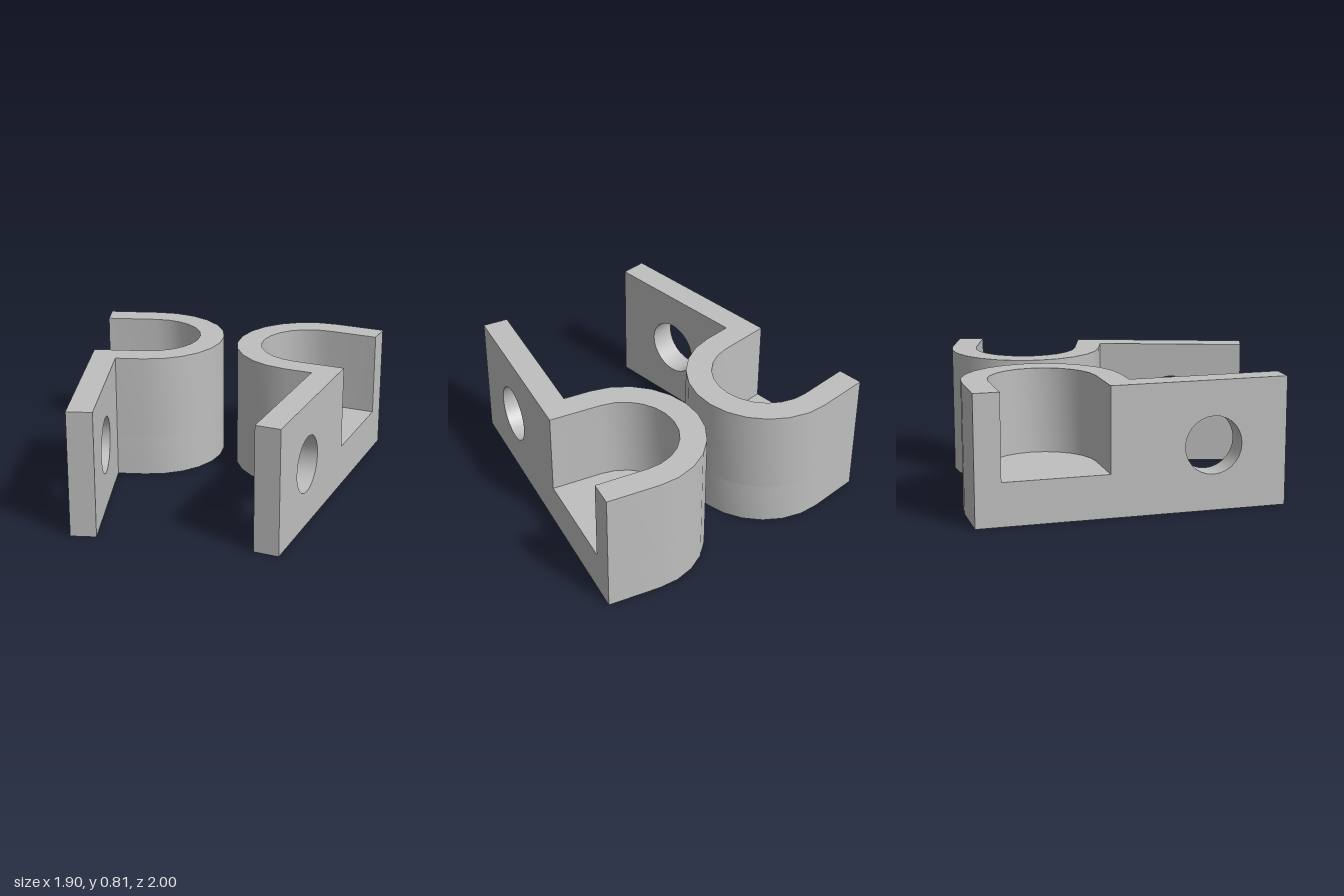
import * as THREE from 'three';
import { toCreasedNormals } from 'three/addons/utils/BufferGeometryUtils.js';

const HEIGHT = 0.805, FLOOR = 0.27, WALL = 0.16, LENGTH = 1.93;
const RADIUS = 0.49, REACH = 0.334; // cup outer radius, distance of its axis from the flat face
const TILT = 0.164;

const grey = new THREE.MeshStandardMaterial({ color: 0xbfbfbf });
grey.name = 'grey';

// Half circle round the cup axis, bulging away from the flat face
function halfArc(r, steps = 12) {
  const pts = [];
  for (let i = 0; i <= steps; i++) {
    const a = (i / steps) * Math.PI;
    pts.push([RADIUS - r * Math.cos(a), REACH + r * Math.sin(a)]);
  }
  return pts;
}

// Upright prism from a plan outline of [along, inward] points
function prism(name, outline, side, y, height) {
  const shape = new THREE.Shape(outline.map(([s, t]) => new THREE.Vector2(s, -side * t)));
  const geo = new THREE.ExtrudeGeometry(shape, { depth: height, bevelEnabled: false });
  geo.rotateX(-Math.PI / 2).translate(0, y, 0);
  const mesh = new THREE.Mesh(toCreasedNormals(geo, 0.5), grey);
  mesh.name = name;
  return mesh;
}

// Flat mounting plate with a round screw hole
function plate(side) {
  const s0 = RADIUS * 2;
  const shape = new THREE.Shape([[s0, 0], [LENGTH, 0], [LENGTH, HEIGHT], [s0, HEIGHT]]
    .map(([x, y]) => new THREE.Vector2(x, y)));
  shape.holes.push(new THREE.Path().absarc(1.465, 0.405, 0.18, 0, Math.PI * 2, true));
  const geo = new THREE.ExtrudeGeometry(shape, { depth: WALL, bevelEnabled: false, curveSegments: 14 });
  if (side < 0) geo.translate(0, 0, -WALL);
  const mesh = new THREE.Mesh(toCreasedNormals(geo, 0.5), grey);
  mesh.name = 'mountingPlate';
  return mesh;
}

function bracket(side, x, z) {
  const group = new THREE.Group();
  group.name = side > 0 ? 'leftBracket' : 'rightBracket';
  const outer = [[0, 0], ...halfArc(RADIUS), [RADIUS * 2, 0]];
  const inner = [[WALL, 0], ...halfArc(RADIUS - WALL), [RADIUS * 2 - WALL, 0]];
  group.add(
    prism('cupFloor', outer, side, 0, FLOOR),
    prism('cupWall', [...outer, ...inner.reverse()], side, FLOOR, HEIGHT - FLOOR),
    plate(side),
  );
  group.rotation.y = -(Math.PI / 2 + side * TILT);
  group.position.set(x, 0, z);
  return group;
}

export function createModel() {
  const model = new THREE.Group();
  model.name = 'bracketPair';
  model.add(bracket(1, 0.95, -0.943), bracket(-1, -0.954, -0.908));
  return model;
}
